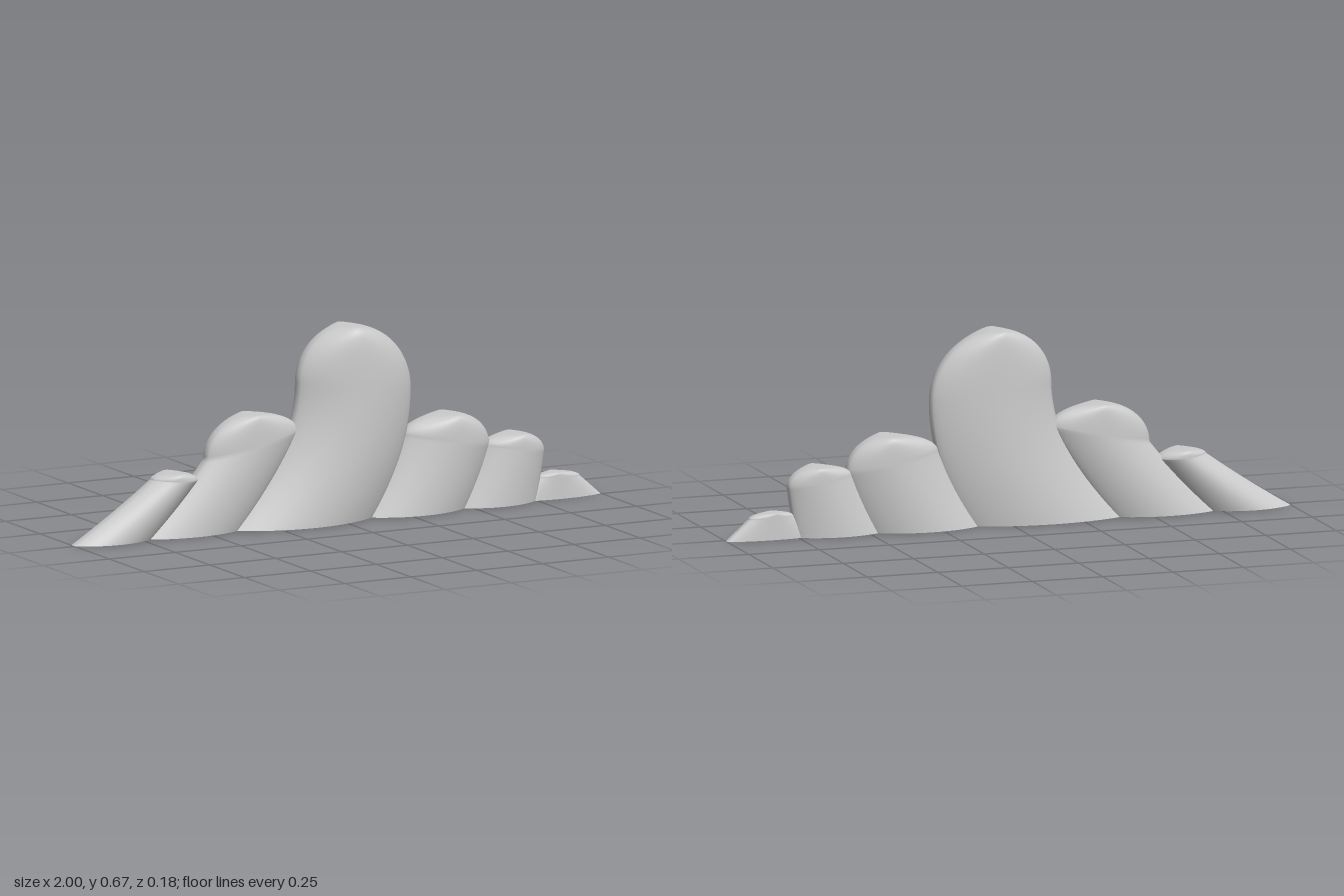
import * as THREE from 'three';
import { mergeVertices } from 'three/addons/utils/BufferGeometryUtils.js';

const ROWS = 48, RING = 48;
const MID = -0.015; // z of the thin seam between lobes

// Each lobe: base ends (x), shoulders and peak (x, y), bend of its sides, bulge to front and back, rim half-thickness.
const LOBES = [
  { name: 'farRightLobe', base: [-1, -0.7], left: [-0.7, 0.198], right: [-0.53, 0.185], peak: [-0.62, 0.217],
    bend: 0.55, front: 0.065, back: 0.065, rim: 0.025 },
  { name: 'rightLobe', base: [-0.74, -0.37], left: [-0.5, 0.25], right: [-0.15, 0.32], peak: [-0.325, 0.392],
    bend: 0.6, front: 0.065, back: 0.065, rim: 0.03 },
  { name: 'centreLobe', base: [-0.41, 0.14], left: [-0.152, 0.48], right: [0.278, 0.43], peak: [0.035, 0.665],
    bend: 1, front: 0.105, back: 0.075, rim: 0.03 },
  { name: 'leftLobe', base: [0.1, 0.49], left: [0.25, 0.265], right: [0.575, 0.21], peak: [0.43, 0.328],
    bend: 0.65, front: 0.085, back: 0.075, rim: 0.03 },
  { name: 'outerLeftLobe', base: [0.45, 0.755], left: [0.555, 0.205], right: [0.783, 0.17], peak: [0.68, 0.238],
    bend: 0.6, front: 0.07, back: 0.06, rim: 0.028 },
  { name: 'farLeftLobe', base: [0.69, 1], left: [0.76, 0.075], right: [0.92, 0.07], peak: [0.825, 0.09],
    bend: 0.5, front: 0.035, back: 0.031, rim: 0.02 },
];

// Bent side up to the shoulder, then a quarter ellipse over to the peak
function edgePoint(t, baseX, [sx, sy], [px, py], bend) {
  if (t < 0.5) {
    const s = t * 2;
    const cx = baseX + (sx - baseX) * bend;
    return [(1 - s) ** 2 * baseX + 2 * s * (1 - s) * cx + s * s * sx, sy * s];
  }
  const angle = (t - 0.5) * Math.PI;
  return [px + (sx - px) * Math.cos(angle), sy + (py - sy) * Math.sin(angle)];
}

function makeGeometry(positions, index) {
  const geometry = new THREE.BufferGeometry();
  geometry.setAttribute('position', new THREE.Float32BufferAttribute(positions, 3));
  geometry.setIndex(index);
  const merged = mergeVertices(geometry, 1e-5);
  merged.computeVertexNormals();
  return merged;
}

function makeLobe({ name, base, left, right, peak, bend, front, back, rim }, material) {
  const pos = [], sides = [], fan = [];

  // Lens-shaped cross-sections, thinning and closing towards the rounded top
  for (let i = 0; i <= ROWS; i++) {
    const t = i / ROWS;
    const [ax, ay] = edgePoint(t, base[0], left, peak, bend);
    const [bx, by] = edgePoint(t, base[1], right, peak, bend);
    const round = Math.sqrt(1 - Math.max(0, t * 2 - 1) ** 3);
    for (let j = 0; j < RING; j++) {
      const angle = (j / RING) * Math.PI * 2;
      const u = (Math.cos(angle) + 1) / 2, w = Math.sin(angle);
      const bulge = w > 0 ? front : back;
      const top = Math.min(rim * 1.4, bulge);
      const full = top + (bulge - top) * round;
      const half = rim * Math.abs(w) ** 0.45 + (full - rim) * w * w;
      pos.push(ax + (bx - ax) * u, ay + (by - ay) * u, MID + Math.sign(w) * half);
    }
  }
  for (let i = 0; i < ROWS; i++) {
    for (let j = 0; j < RING; j++) {
      const a = i * RING + j, b = i * RING + (j + 1) % RING;
      sides.push(a, a + RING, b, b, a + RING, b + RING);
    }
  }

  // Flat underside
  const underside = [...pos.slice(0, RING * 3), (base[0] + base[1]) / 2, 0, MID];
  for (let j = 0; j < RING; j++) fan.push(RING, j, (j + 1) % RING);

  const group = new THREE.Group();
  group.name = name;
  const body = new THREE.Mesh(makeGeometry(pos, sides), material);
  body.name = name + ' body';
  const bottom = new THREE.Mesh(makeGeometry(underside, fan), material);
  bottom.name = name + ' underside';
  group.add(body, bottom);
  return group;
}

export function createModel() {
  const model = new THREE.Group();
  model.name = 'lobedCloud';
  const material = new THREE.MeshStandardMaterial({ color: 0xcccccc });
  for (const lobe of LOBES) model.add(makeLobe(lobe, material));
  return model;
}
